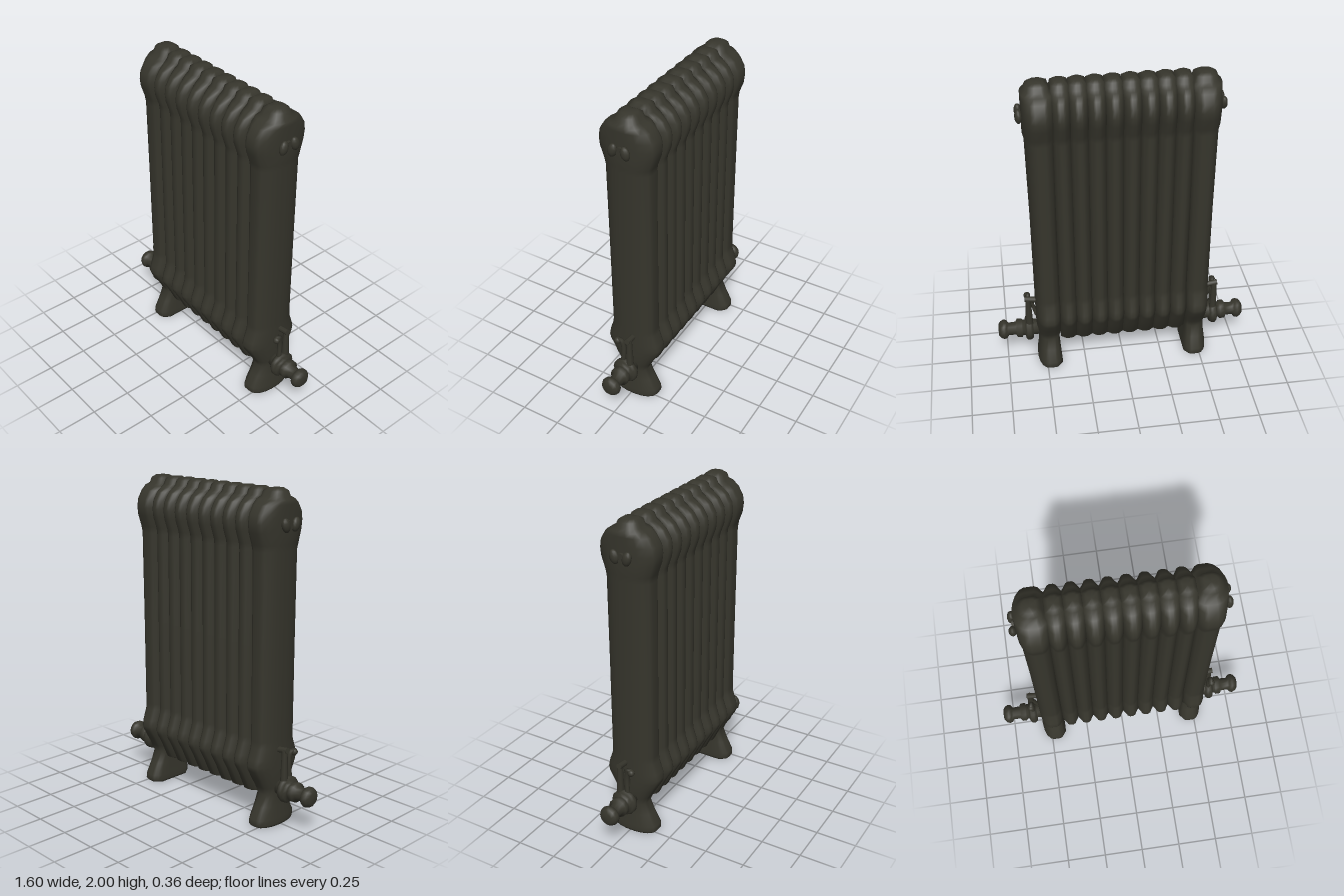
import * as THREE from 'three';

const iron = new THREE.MeshStandardMaterial({ color: 0x36352c });
iron.name = 'dark cast iron';

function part(geometry, name, parent) {
  const mesh = new THREE.Mesh(geometry, iron);
  mesh.name = name;
  parent.add(mesh);
  return mesh;
}

// Plan: half outline [x, z share] from +x to -x. Rows: [y, half depth, x scale], bottom to top.
function loft(plan, rows) {
  const loop = [...plan.map(([x, z]) => [x, -z]), ...[...plan].reverse()];
  const n = loop.length, pos = [], index = [];
  for (const [y, d, sx] of rows) for (const [x, z] of loop) pos.push(x * sx, y, z * d);
  for (let r = 0; r < rows.length - 1; r++) {
    for (let i = 0; i < n; i++) {
      const a = r * n + i, b = r * n + (i + 1) % n;
      index.push(a, b, b + n, a, b + n, a + n);
    }
  }
  // End caps
  const c = rows.length * n, top = c - n;
  pos.push(0, rows[0][0], 0, 0, rows[rows.length - 1][0], 0);
  for (let i = 0; i < n; i++) {
    const j = (i + 1) % n;
    index.push(c, j, i, c + 1, top + i, top + j);
  }
  const g = new THREE.BufferGeometry();
  g.setAttribute('position', new THREE.Float32BufferAttribute(pos, 3));
  g.setIndex(index);
  g.computeVertexNormals();
  return g;
}

const sectionPlan = [[0.053, 0.25], [0.053, 0.7], [0.036, 0.84], [0.024, 0.96], [0.01, 1],
  [-0.01, 1], [-0.024, 0.96], [-0.036, 0.84], [-0.053, 0.7], [-0.053, 0.25]];
const endPlan = [[0.083, 0.2], [0.076, 0.5], [0.062, 0.76], [0.04, 0.94], [0.018, 1],
  [-0.03, 1], [-0.046, 0.95], [-0.06, 0.83], [-0.076, 0.7], [-0.076, 0.25]];

// Shared side silhouette of the sections
const silhouette = [[0.3, 0.137, 1], [0.36, 0.172, 1], [0.39, 0.18, 1], [0.43, 0.172, 1],
  [0.5, 0.147, 1], [0.54, 0.144, 1], [1.1, 0.144, 1], [1.65, 0.144, 1], [1.69, 0.149, 1],
  [1.76, 0.174, 1], [1.81, 0.18, 1], [1.86, 0.172, 1], [1.91, 0.14, 1], [1.935, 0.105, 1],
  [1.95, 0.075, 1], [1.98, 0.062, 0.9], [1.995, 0.04, 0.55]];
const sectionRows = [[0.175, 0.06, 0.7], [0.188, 0.085, 1], ...silhouette];
const endRows = [[0, 0.145, 0.95], [0.012, 0.155, 0.97], [0.045, 0.153, 0.95], [0.12, 0.115, 0.83],
  [0.19, 0.083, 0.78], [0.24, 0.103, 0.88],
  ...silhouette.map(([y, d, s]) =>
    [y, d, y > 1.94 ? s * 0.88 : y > 1.68 ? 1.13 : y > 1.6 ? 1.02 : 0.95])];

// Supply valve, bracket and plug at one end; zs flips depth
function endFittings(zs) {
  const g = new THREE.Group();
  // Turned valve body along x
  const profile = [[0, 0.52], [0.05, 0.52], [0.05, 0.575], [0.072, 0.58], [0.082, 0.595], [0.082, 0.615],
    [0.07, 0.625], [0.05, 0.63], [0.05, 0.645], [0.06, 0.65], [0.06, 0.68], [0.042, 0.69],
    [0.04, 0.735], [0.058, 0.748], [0.063, 0.765], [0.055, 0.785], [0.035, 0.8], [0, 0.8]]
    .map(([r, y]) => new THREE.Vector2(r, y));
  const valve = part(new THREE.LatheGeometry(profile, 14), 'valve', g);
  valve.rotation.z = -Math.PI / 2;
  valve.position.y = 0.24;

  // Upright strut and hooked rod above the valve
  const strut = part(new THREE.CylinderGeometry(0.017, 0.024, 0.2, 8), 'bracketStrut', g);
  strut.position.set(0.6, 0.39, -0.03 * zs);
  const path = [[0.6, 0.28, 0.02], [0.595, 0.42, 0.015], [0.6, 0.475, 0.03], [0.6, 0.465, 0.055]];
  const curve = new THREE.CatmullRomCurve3(path.map(([x, y, z]) => new THREE.Vector3(x, y, z * zs)));
  part(new THREE.TubeGeometry(curve, 14, 0.015, 8), 'bracketHook', g);
  const tip = part(new THREE.SphereGeometry(0.022, 10, 8), 'hookTip', g);
  tip.position.set(0.603, 0.462, 0.05 * zs);
  const arm = part(new THREE.CylinderGeometry(0.018, 0.018, 0.1, 8), 'bracketArm', g);
  arm.rotation.z = Math.PI / 2 + 0.15;
  arm.position.set(0.57, 0.485, -0.025 * zs);
  const brace = new THREE.LineCurve3(new THREE.Vector3(0.585, 0.47, 0), new THREE.Vector3(0.55, 0.34, 0));
  part(new THREE.TubeGeometry(brace, 1, 0.012, 8), 'bracketBrace', g);

  // Two-lobed vent plug near the top
  for (const z of [-0.037, 0.043]) {
    const lobe = part(new THREE.SphereGeometry(1, 12, 8), 'ventLobe', g);
    lobe.scale.set(0.022, 0.042, 0.028);
    lobe.rotation.x = z > 0 ? -0.25 : 0.25;
    lobe.position.set(0.583, 1.8, z * zs);
  }
  const stem = part(new THREE.CylinderGeometry(0.022, 0.026, 0.05, 10), 'ventStem', g);
  stem.rotation.z = Math.PI / 2;
  stem.position.set(0.56, 1.8, 0);
  return g;
}

export function createModel() {
  const radiator = new THREE.Group();
  radiator.name = 'radiator';

  // Inner sections
  const sectionGeometry = loft(sectionPlan, sectionRows);
  for (let i = 0; i < 8; i++) {
    part(sectionGeometry, 'section', radiator).position.x = -0.35 + i * 0.1;
  }

  // End sections with feet, and their fittings
  const endGeometry = loft(endPlan, endRows);
  for (const side of [1, -1]) {
    const end = new THREE.Group();
    end.name = side > 0 ? 'leftEnd' : 'rightEnd';
    part(endGeometry, 'endSectionWithFoot', end).position.x = 0.475;
    const fittings = endFittings(side);
    fittings.name = 'fittings';
    end.add(fittings);
    if (side < 0) end.rotation.y = Math.PI;
    radiator.add(end);
  }
  return radiator;
}
